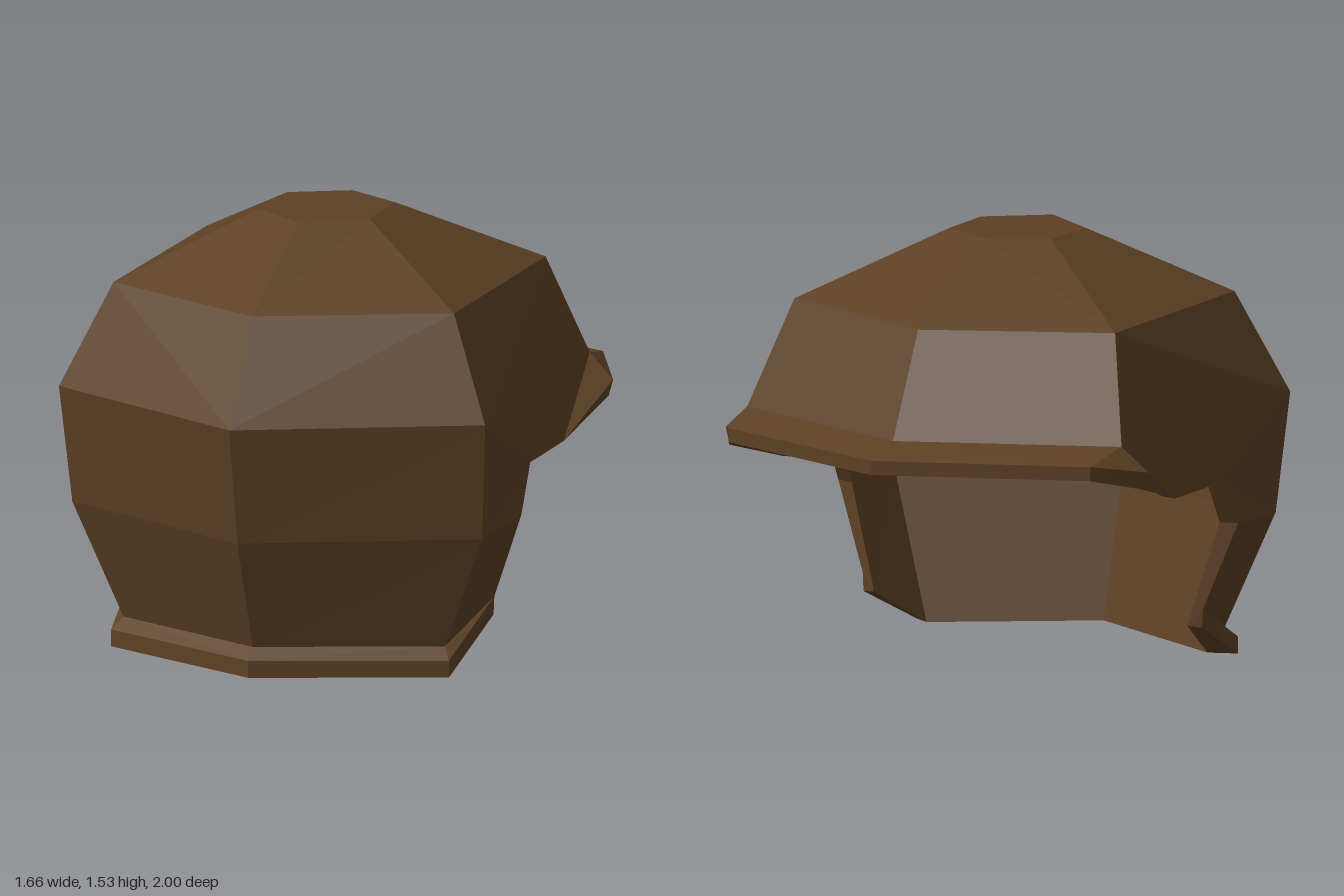
import * as THREE from 'three';

// Corner points of the left half: x, y, z and how far the lining sits below.
// F = front middle, A = front side, B = back side, K = back middle, P = lower side edge.
const points = {
  F0: [0, 1.525, 0.345, 0.06], A0: [0.205, 1.525, 0.2, 0.06], B0: [0.2, 1.53, -0.045, 0.06], K0: [0, 1.53, -0.155, 0.06],
  F1: [0, 1.29, 0.79, 0.05], A1: [0.635, 1.29, 0.49, 0.05], B1: [0.63, 1.3, -0.38, 0.05], K1: [0, 1.3, -0.65, 0.05],
  F2: [0, 0.93, 1, 0], A2: [0.795, 0.93, 0.6, 0], B2: [0.735, 0.935, -0.53, 0.09], K2: [0, 0.94, -0.835, 0.09],
  F3: [0, 0.51, 0.925, 0], A3: [0.765, 0.51, 0.55, 0],
  F4: [0, 0.11, 0.78, 0.09], A4: [0.6, 0.1, 0.485, 0.09],
  P1: [0.77, 0.695, -0.2, 0], P2: [0.78, 0.695, 0.14, 0], P3: [0.785, 0.53, 0.235, 0], P4: [0.668, 0.22, 0.195, 0.06],
  // neck flange, top and bottom edges
  Ft: [0, 0.07, 0.825], At: [0.63, 0.06, 0.525], Fb: [0, 0.01, 0.825], Ab: [0.63, 0, 0.525], Pb: [0.665, 0.155, 0.195],
  // brim, top and bottom edges
  Ct: [0.83, 0.85, -0.51], Dt: [0.71, 0.895, -0.717], Et: [0, 0.9, -1],
  Cb: [0.81, 0.79, -0.52], Db: [0.71, 0.845, -0.715], Eb: [0, 0.85, -1],
};

// A leading "i" names the matching point on the lining.
function getPoint(name) {
  if (name[0] !== 'i') return new THREE.Vector3(...points[name].slice(0, 3));
  const [x, y, z, drop] = points[name.slice(1)];
  return new THREE.Vector3(x * 0.92, y - drop, z * 0.92);
}

// Fans each polygon into triangles and mirrors it to the other side.
function mirroredMesh(name, faces, material) {
  const positions = [];
  for (const face of faces) {
    const p = face.map(getPoint);
    for (let i = 1; i < p.length - 1; i++) {
      const tri = [p[0], p[i], p[i + 1]];
      if (new THREE.Triangle(...tri).getArea() < 1e-7) continue;
      for (const v of tri) positions.push(v.x, v.y, v.z);
      for (const v of tri.reverse()) positions.push(-v.x, v.y, v.z);
    }
  }
  const geometry = new THREE.BufferGeometry();
  geometry.setAttribute('position', new THREE.Float32BufferAttribute(positions, 3));
  geometry.computeVertexNormals();
  const mesh = new THREE.Mesh(geometry, material);
  mesh.name = name;
  return mesh;
}

export function createModel() {
  const material = new THREE.MeshStandardMaterial({ color: 0x5c4024, flatShading: true });
  const split = (text) => text.split(' ');

  // Crown, then the bands of the dome, then the neck guard
  const shell = [['F0', 'A0', 'B0', 'K0']];
  for (const r of [1, 2]) {
    for (const [a, b] of ['FA', 'AB', 'BK']) {
      shell.push([a + r, b + r, b + (r - 1), a + (r - 1)]);
    }
  }
  shell.push(...['F3 A3 A2 F2', 'F4 A4 A3 F3', 'A4 P4 P3 A3', 'A3 P3 P2 A2', 'A2 P2 P1 B2'].map(split));

  // Lining: the same faces, turned inward
  const lining = shell.map((face) => face.map((n) => 'i' + n).reverse());

  const brim = ['P1 Ct B2', 'P1 Cb Ct', 'Ct Dt B2', 'Dt Et K2 B2', 'Cb Db Dt Ct', 'Db Eb Et Dt'].map(split);
  const flange = ['Ft At A4 F4', 'At P4 A4', 'Fb Ab At Ft', 'Ab Pb P4 At'].map(split);

  // Underside joining the outer edge to the lining
  const outer = split('Fb Ab Pb P4 P3 P2 P1 Cb Db Eb');
  const inner = split('iF4 iA4 iP4 iP4 iP3 iP2 iP1 iB2 iB2 iK2');
  const rim = outer.slice(1).map((n, i) => [outer[i], inner[i], inner[i + 1], n]);

  const group = new THREE.Group();
  group.name = 'helmet';
  group.add(
    mirroredMesh('shell', shell, material),
    mirroredMesh('lining', lining, material),
    mirroredMesh('brim', brim, material),
    mirroredMesh('neckFlange', flange, material),
    mirroredMesh('rim', rim, material),
  );
  return group;
}
